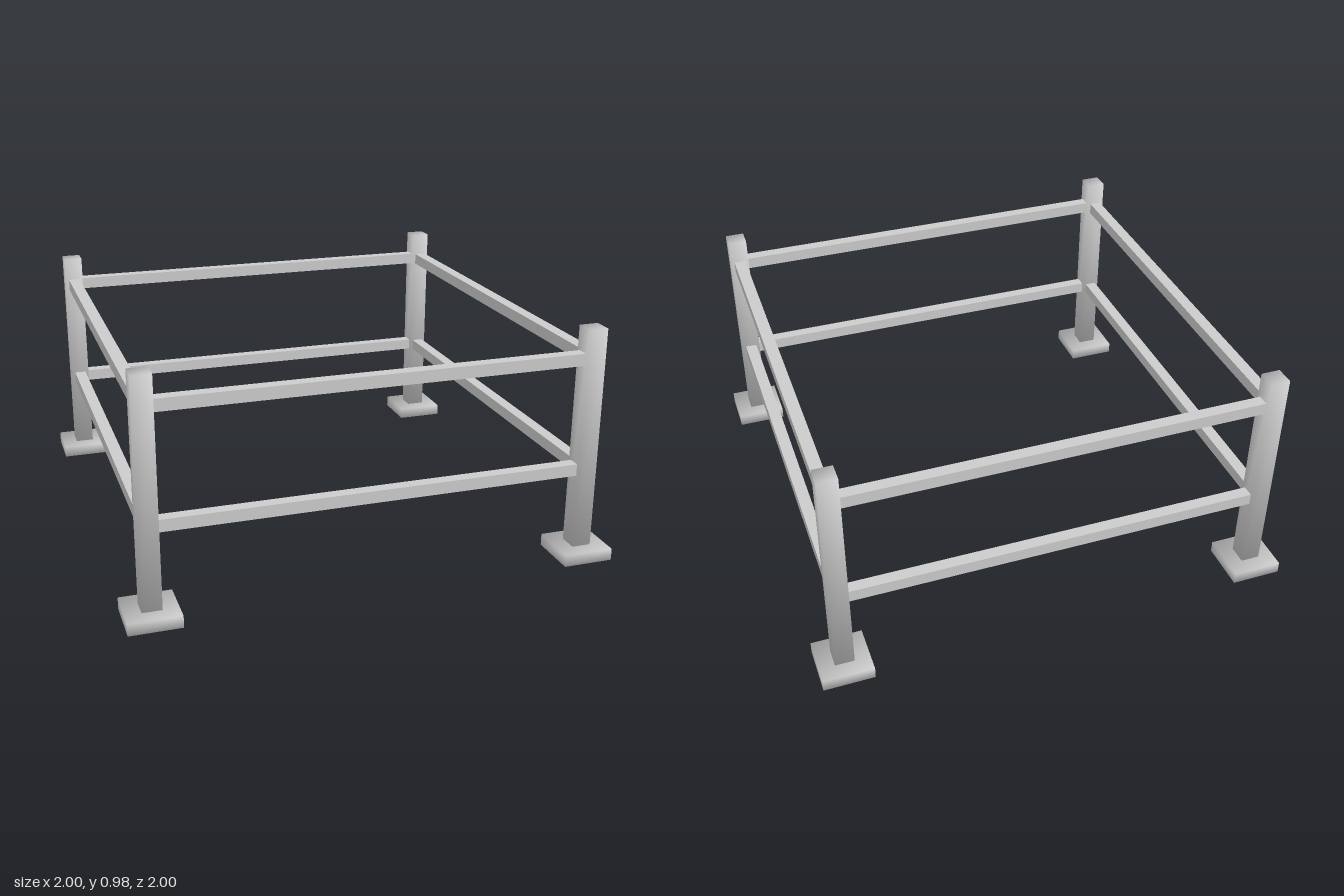
import * as THREE from 'three';

const CORNER = 0.895; // distance of each post axis from the centre
const POST = 0.08;
const BASE = 0.21;
const BASE_HEIGHT = 0.05;
const HEIGHT = 0.98;
const RAIL = 0.05;

// Box whose normals blend evenly across its corners
function softBox(w, h, d) {
  const geometry = new THREE.BoxGeometry(w, h, d);
  const p = geometry.attributes.position;
  const n = new THREE.Vector3();
  for (let i = 0; i < p.count; i++) {
    n.set(Math.sign(p.getX(i)), Math.sign(p.getY(i)), Math.sign(p.getZ(i))).normalize();
    geometry.attributes.normal.setXYZ(i, n.x, n.y, n.z);
  }
  return geometry;
}

export function createModel() {
  const model = new THREE.Group();
  model.name = 'railingFrame';
  const material = new THREE.MeshStandardMaterial({ color: 0xcccccc });

  const add = (name, geometry, x, y, z) => {
    const mesh = new THREE.Mesh(geometry, material);
    mesh.name = name;
    mesh.position.set(x, y, z);
    model.add(mesh);
    return mesh;
  };

  // Four corner posts standing on square foot plates
  const postHeight = HEIGHT - BASE_HEIGHT;
  const postGeometry = softBox(POST, postHeight, POST);
  const plateGeometry = softBox(BASE, BASE_HEIGHT, BASE);
  for (const [zName, sz] of [['front', 1], ['back', -1]]) {
    for (const [xName, sx] of [['Left', 1], ['Right', -1]]) {
      const x = sx * CORNER, z = sz * CORNER;
      add(`${zName}${xName}Post`, postGeometry, x, BASE_HEIGHT + postHeight / 2, z);
      add(`${zName}${xName}FootPlate`, plateGeometry, x, BASE_HEIGHT / 2, z);
    }
  }

  // Two rails on every side, butting against the post faces
  const railGeometry = new THREE.BoxGeometry(2 * CORNER - POST, RAIL, RAIL);
  for (const [level, y] of [['Lower', 0.387], ['Upper', 0.855]]) {
    ['front', 'left', 'back', 'right'].forEach((side, i) => {
      const angle = i * Math.PI / 2;
      const rail = add(`${side}${level}Rail`, railGeometry,
        Math.sin(angle) * CORNER, y, Math.cos(angle) * CORNER);
      rail.rotation.y = angle;
    });
  }

  return model;
}
